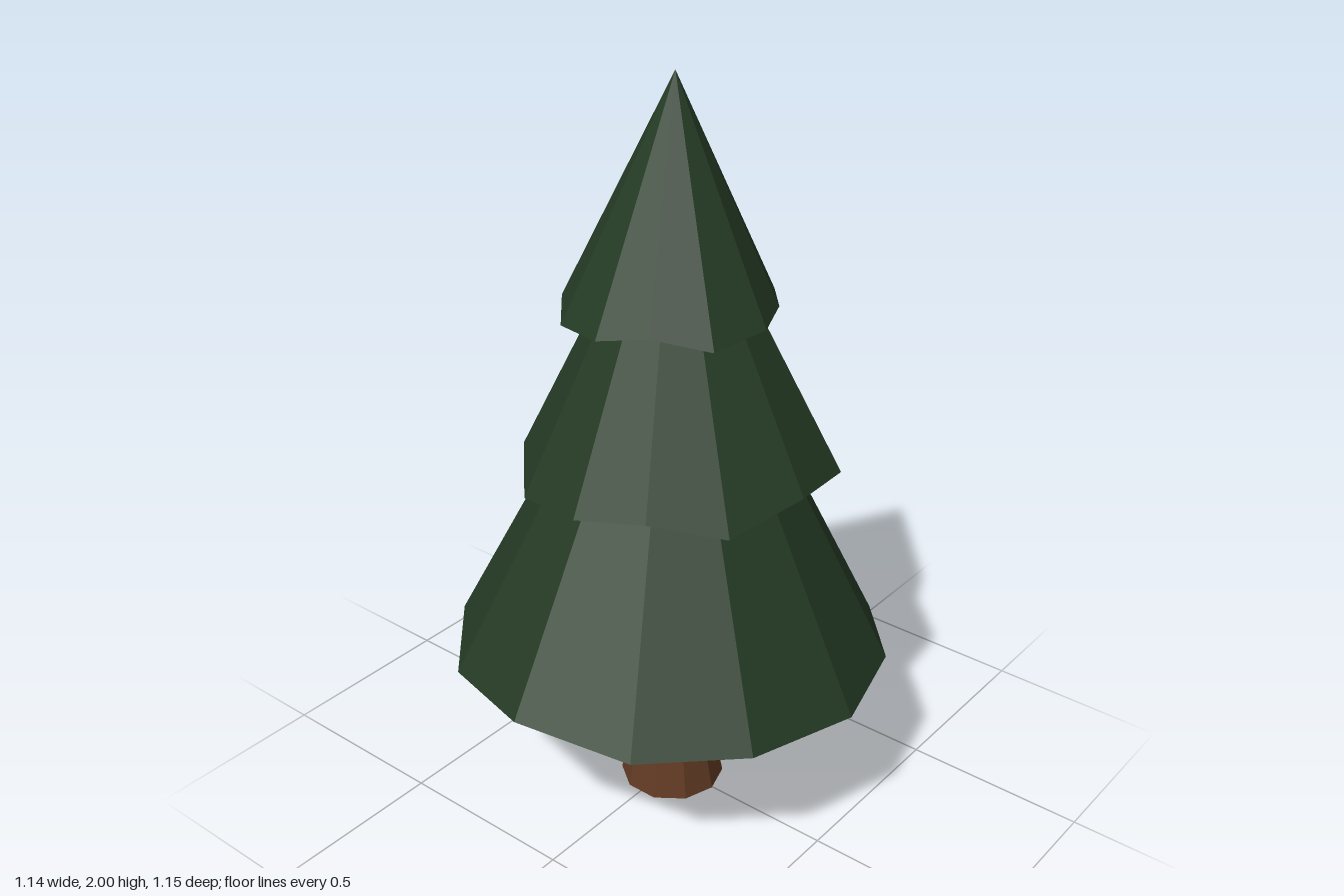
import * as THREE from 'three';

// Open cone from an apex height down to a rim of [x, z, y] points, clockwise from the back
function makeCone(name, apex, rim, material) {
  const sides = rim.length;
  const geo = new THREE.ConeGeometry(1, 1, sides, 1, true);
  const pos = geo.attributes.position;
  for (let i = 0; i < pos.count; i++) {
    if (pos.getY(i) > 0) {
      pos.setXYZ(i, 0.01, apex, 0);
    } else {
      // the geometry starts at the front and runs the other way round
      const [x, z, y] = rim[(sides * 1.5 - (i % (sides + 1))) % sides];
      pos.setXYZ(i, x, y, z);
    }
  }
  geo.computeVertexNormals();
  const mesh = new THREE.Mesh(geo, material);
  mesh.name = name;
  return mesh;
}

// Faceted trunk through rings of [y, centre x, centre z, radius]
function makeTrunk(rings, material) {
  const top = rings.length - 1;
  const geo = new THREE.CylinderGeometry(1, 1, top, 10, top, false, Math.PI / 2);
  const pos = geo.attributes.position;
  for (let i = 0; i < pos.count; i++) {
    const [y, cx, cz, r] = rings[Math.round(pos.getY(i) + top / 2)];
    pos.setXYZ(i, cx + r * pos.getX(i), y, cz + r * pos.getZ(i));
  }
  geo.computeVertexNormals();
  const mesh = new THREE.Mesh(geo, material);
  mesh.name = 'trunk';
  return mesh;
}

export function createModel() {
  const tree = new THREE.Group();
  tree.name = 'pineTree';
  const leaf = new THREE.MeshStandardMaterial({ color: 0x253b25, flatShading: true });
  const underside = new THREE.MeshStandardMaterial({ color: 0x253b25, side: THREE.BackSide });
  const bark = new THREE.MeshStandardMaterial({ color: 0x643c25, flatShading: true });

  // Trunk, flared at the base and slightly bent
  tree.add(makeTrunk([
    [0, 0.003, 0.003, 0.142],
    [0.28, 0.013, 0.017, 0.092],
    [0.5, 0, 0.01, 0.067],
    [1.0, 0, 0, 0.035],
  ], bark));

  // Three overlapping foliage tiers with uneven rims and hollow undersides
  const tiers = [
    { name: 'lowerFoliage', apex: 1.6, hollow: 0.85, rim: [
      [0.01, -0.58, 0.49], [0.325, -0.48, 0.43], [0.5, -0.29, 0.44], [0.57, -0.02, 0.43],
      [0.485, 0.285, 0.445], [0.27, 0.495, 0.447], [-0.04, 0.575, 0.475], [-0.325, 0.49, 0.452],
      [-0.51, 0.28, 0.475], [-0.57, 0, 0.445], [-0.5, -0.3, 0.475], [-0.29, -0.485, 0.44],
    ] },
    { name: 'middleFoliage', apex: 1.82, hollow: 1.26, rim: [
      [-0.03, -0.4, 0.975], [0.2, -0.35, 0.99], [0.385, -0.2, 1.0], [0.41, 0, 1.02],
      [0.345, 0.21, 0.975], [0.195, 0.34, 1.02], [0.01, 0.39, 0.99], [-0.2, 0.34, 0.955],
      [-0.34, 0.19, 1.005], [-0.395, -0.01, 1.0], [-0.38, -0.22, 1.01], [-0.235, -0.355, 1.0],
    ] },
    { name: 'upperFoliage', apex: 2, hollow: 1.62, rim: [
      [0, -0.27, 1.44], [0.135, -0.24, 1.42], [0.225, -0.135, 1.43], [0.285, 0, 1.43],
      [0.25, 0.155, 1.415], [0.135, 0.25, 1.45], [0, 0.285, 1.42], [-0.14, 0.25, 1.41],
      [-0.235, 0.14, 1.43], [-0.28, 0, 1.43], [-0.24, -0.14, 1.44], [-0.145, -0.25, 1.425],
    ] },
  ];
  for (const { name, apex, hollow, rim } of tiers) {
    tree.add(makeCone(name, apex, rim, leaf));
    tree.add(makeCone(name + 'Underside', hollow, rim, underside));
  }
  return tree;
}
